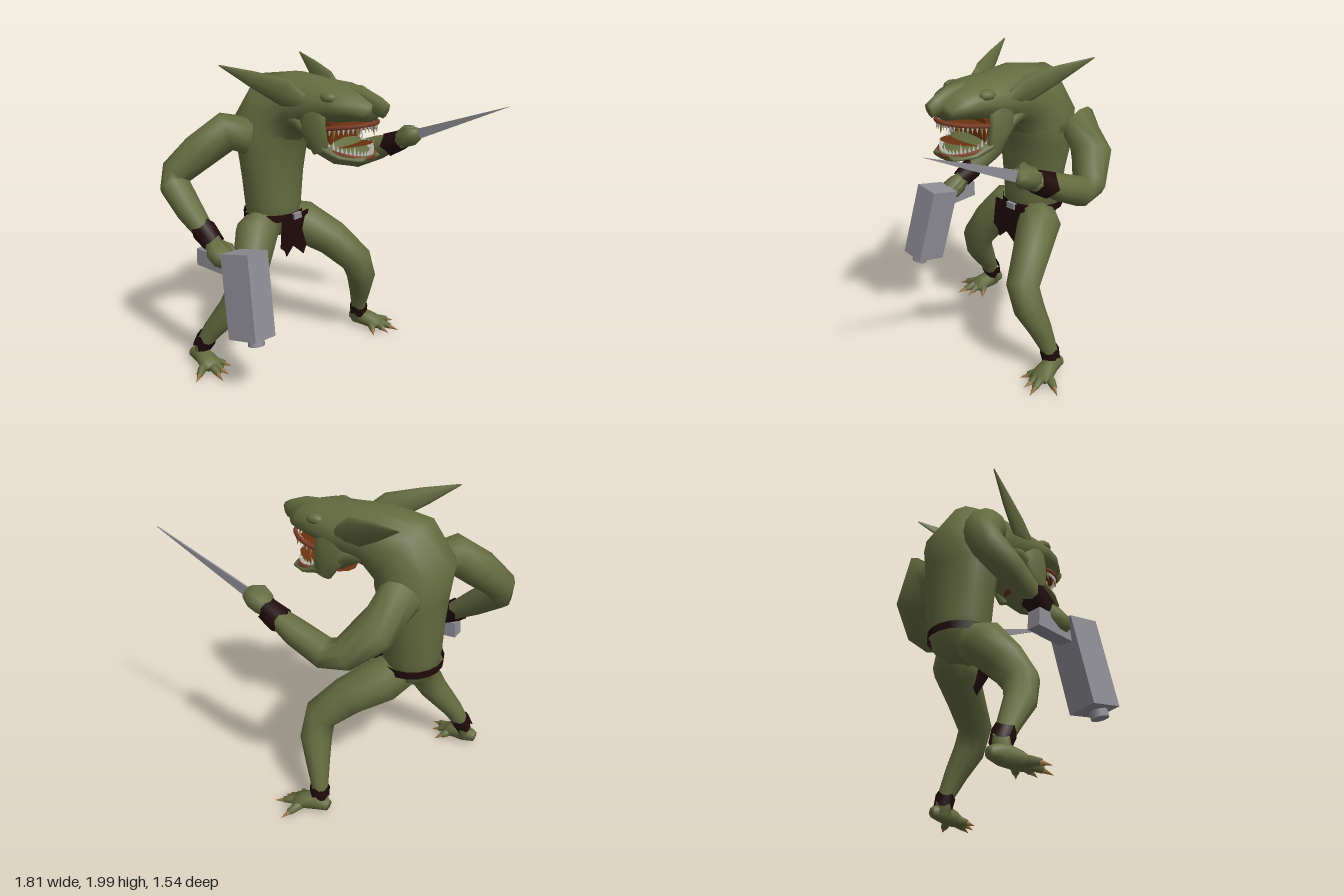
import * as THREE from 'three';

const mat = (name, color, side = THREE.FrontSide) => {
  const m = new THREE.MeshStandardMaterial({ color, side });
  m.name = name;
  return m;
};
const V = (x, y, z) => new THREE.Vector3(x, y, z);

// Loft of elliptical rings; each section is [x, y, z, radius in the xy plane, other radius]
function loft(sections, n = 10) {
  const c = sections.map(s => V(s[0], s[1], s[2]));
  const pos = [], idx = [], last = c.length - 1;
  c.forEach((p, i) => {
    const t = c[Math.min(i + 1, last)].clone().sub(c[Math.max(i - 1, 0)]).normalize();
    const u = V(0, 0, 1).cross(t).normalize(), v = t.clone().cross(u);
    const a = sections[i][3], b = sections[i][4] ?? a;
    for (let j = 0; j < n; j++) {
      const q = j / n * Math.PI * 2;
      const r = p.clone().addScaledVector(u, a * Math.cos(q)).addScaledVector(v, b * Math.sin(q));
      pos.push(r.x, r.y, r.z);
    }
  });
  pos.push(...c[0].toArray(), ...c[last].toArray());
  const s = c.length * n, e = s + 1;
  for (let j = 0; j < n; j++) {
    const k = (j + 1) % n;
    for (let i = 0; i < last; i++) {
      const A = i * n + j, B = i * n + k;
      idx.push(A, B, A + n, B, B + n, A + n);
    }
    idx.push(s, k, j, e, last * n + j, last * n + k);
  }
  const g = new THREE.BufferGeometry();
  g.setAttribute('position', new THREE.Float32BufferAttribute(pos, 3));
  g.setIndex(idx);
  g.computeVertexNormals();
  return g;
}

export function createModel() {
  const root = new THREE.Group();
  root.name = 'crouchingMonster';
  const skin = mat('green skin', 0x646c40);
  const leather = mat('dark leather', 0x200a0b, THREE.DoubleSide);
  const metal = mat('grey metal', 0x8f8e96);
  const lipMat = mat('lip', 0x7c3c26);
  const mouthMat = mat('mouth flesh', 0x6c330f, THREE.DoubleSide);
  const toothMat = mat('tooth', 0xc8c4bc);
  const clawMat = mat('claw', 0xa47a48);

  const add = (name, geo, material, parent = root) => {
    const m = new THREE.Mesh(geo, material);
    m.name = name;
    parent.add(m);
    return m;
  };
  const along = (mesh, from, to) => {
    mesh.position.copy(from).add(to).multiplyScalar(0.5);
    mesh.quaternion.setFromUnitVectors(V(0, 1, 0), to.clone().sub(from).normalize());
    return mesh;
  };
  const spike = (name, from, to, r, material, parent) =>
    along(add(name, new THREE.ConeGeometry(r, from.distanceTo(to), 5), material, parent), from, to);

  // Trunk, bending forward into the skull
  add('bodyAndSkull', loft([
    [-0.48, 0.83, -0.01, 0.08, 0.08], [-0.48, 0.92, -0.015, 0.17, 0.18], [-0.49, 1.05, -0.02, 0.175, 0.205],
    [-0.49, 1.25, -0.02, 0.18, 0.235], [-0.49, 1.43, -0.025, 0.195, 0.27], [-0.485, 1.58, -0.025, 0.24, 0.275],
    [-0.41, 1.70, -0.03, 0.25, 0.235], [-0.25, 1.75, -0.03, 0.195, 0.21], [-0.05, 1.765, -0.03, 0.15, 0.21],
    [0.1, 1.785, -0.03, 0.12, 0.2], [0.22, 1.775, -0.03, 0.09, 0.165], [0.31, 1.75, -0.03, 0.06, 0.1]], 16), skin);

  // Head details share one group, set slightly off centre
  const head = new THREE.Group();
  head.name = 'headDetails';
  head.position.z = -0.03;
  root.add(head);
  add('lowerJaw', loft([
    [-0.3, 1.7, 0, 0.1, 0.18], [-0.14, 1.665, 0, 0.085, 0.2], [-0.02, 1.59, 0, 0.085, 0.205],
    [0.07, 1.52, 0, 0.055, 0.195], [0.18, 1.48, 0, 0.035, 0.175], [0.29, 1.465, 0, 0.022, 0.105]], 14), skin, head);
  add('nose', loft([[0.06, 1.87, 0, 0.03, 0.05], [0.24, 1.84, 0, 0.05, 0.05],
    [0.34, 1.79, 0, 0.06, 0.037], [0.395, 1.768, 0, 0.05, 0.03]], 8), skin, head);

  for (const s of [1, -1]) {
    add('ear', loft([[-0.06, 1.78, s * 0.17, 0.04, 0.03], [-0.2, 1.84, s * 0.21, 0.09, 0.028],
      [-0.38, 1.915, s * 0.295, 0.055, 0.018], [-0.57, 1.995, s * 0.39, 0.004]], 8), skin, head);
    add('cheek', loft([[-0.03, 1.78, s * 0.165, 0.1, 0.035], [-0.01, 1.63, s * 0.18, 0.1, 0.03],
      [0.04, 1.5, s * 0.165, 0.06, 0.03]], 10), skin, head);
    const brow = add('brow', new THREE.SphereGeometry(0.05, 10, 6), skin, head);
    brow.position.set(0.09, 1.835, s * 0.155);
    brow.scale.set(1.2, 0.7, 0.9);
    add('eye', new THREE.SphereGeometry(0.018, 8, 6), leather, head).position.set(0.14, 1.805, s * 0.158);
  }

  // Mouth lining, lips and teeth
  add('throat', new THREE.BoxGeometry(0.08, 0.16, 0.29), mouthMat, head).position.set(0.055, 1.605, 0);
  for (const [name, y, tilt] of [['palate', 1.663, 0.08], ['mouthFloor', 1.525, -0.16]]) {
    const plate = add(name, new THREE.CircleGeometry(1, 16), mouthMat, head);
    plate.scale.set(0.19, 0.145, 1);
    plate.rotation.set(-Math.PI / 2, tilt, 0);
    plate.position.set(0.1, y, 0);
  }
  for (const [name, y0, y1, x1, w, d] of [
    ['upperLip', 1.65, 1.685, 0.315, 0.165, -1], ['lowerLip', 1.52, 1.472, 0.29, 0.16, 1]]) {
    const at = q => V(0.08 + (x1 - 0.08) * Math.cos(q), y0 + (y1 - y0) * Math.cos(q), w * Math.sin(q));
    const pts = [];
    for (let i = 0; i <= 10; i++) pts.push(at((i / 10 - 0.5) * Math.PI));
    add(name, new THREE.TubeGeometry(new THREE.CatmullRomCurve3(pts), 20, 0.014, 6), lipMat, head);
    for (let i = 0; i <= 22; i++) {
      const q = (i / 22 - 0.5) * 2.9, p = at(q), fang = i % 5 === 1;
      const base = V(p.x - 0.012, p.y, p.z * 0.93);
      const tip = V(0.012 * Math.cos(q), d * (fang ? 0.075 : 0.05), 0.012 * Math.sin(q)).add(base);
      spike('tooth', base, tip, 0.014, fang && d < 0 ? clawMat : toothMat, head);
    }
  }

  // Arms
  add('leftArm', loft([[-0.5, 1.54, 0.2, 0.12], [-0.58, 1.575, 0.31, 0.125], [-0.7, 1.45, 0.44, 0.12],
    [-0.81, 1.32, 0.54, 0.1], [-0.79, 1.24, 0.575, 0.1], [-0.64, 1.12, 0.605, 0.088],
    [-0.47, 0.99, 0.625, 0.06], [-0.41, 0.95, 0.63, 0.055]]), skin);
  add('rightArm', loft([[-0.48, 1.54, -0.2, 0.12], [-0.55, 1.57, -0.34, 0.125], [-0.49, 1.42, -0.51, 0.125],
    [-0.36, 1.29, -0.61, 0.1], [-0.25, 1.28, -0.64, 0.092], [-0.06, 1.36, -0.645, 0.082],
    [0.08, 1.42, -0.635, 0.06], [0.15, 1.45, -0.63, 0.055]]), skin);

  // Fists with a thumb
  add('leftHand', loft([[-0.43, 0.965, 0.63, 0.045], [-0.38, 0.92, 0.64, 0.068, 0.075],
    [-0.32, 0.885, 0.645, 0.07, 0.078], [-0.28, 0.86, 0.645, 0.045, 0.055]], 8), skin);
  add('leftThumb', loft([[-0.4, 0.95, 0.59, 0.025], [-0.34, 0.93, 0.565, 0.026], [-0.29, 0.9, 0.58, 0.018]], 6), skin);
  add('rightHand', loft([[0.1, 1.43, -0.63, 0.045], [0.16, 1.465, -0.625, 0.068, 0.072],
    [0.225, 1.49, -0.62, 0.068, 0.072], [0.275, 1.505, -0.62, 0.04, 0.05]], 8), skin);
  add('rightThumb', loft([[0.14, 1.49, -0.59, 0.025], [0.19, 1.535, -0.59, 0.026], [0.24, 1.54, -0.62, 0.018]], 6), skin);

  // Legs
  add('leftLeg', loft([[-0.48, 0.93, 0.08, 0.12], [-0.46, 0.88, 0.19, 0.145], [-0.4, 0.74, 0.31, 0.125],
    [-0.375, 0.6, 0.4, 0.11], [-0.44, 0.45, 0.46, 0.095], [-0.57, 0.28, 0.52, 0.068],
    [-0.65, 0.15, 0.55, 0.05], [-0.66, 0.05, 0.56, 0.055]]), skin);
  add('rightLeg', loft([[-0.46, 0.93, -0.08, 0.12], [-0.38, 0.88, -0.19, 0.145], [-0.2, 0.76, -0.3, 0.125],
    [-0.05, 0.61, -0.38, 0.11], [-0.05, 0.47, -0.44, 0.1], [-0.1, 0.32, -0.5, 0.075],
    [-0.145, 0.16, -0.55, 0.05], [-0.15, 0.05, -0.56, 0.055]]), skin);

  // Feet with four clawed toes
  for (const [name, x, z, s] of [['leftFoot', -0.66, 0.56, 1], ['rightFoot', -0.14, -0.57, -1]]) {
    add(name, loft([[x - 0.08, 0.07, z, 0.035], [x, 0.08, z, 0.065, 0.055],
      [x + 0.09, 0.06, z + s * 0.02, 0.05, 0.07], [x + 0.15, 0.045, z + s * 0.03, 0.03, 0.07]]), skin);
    for (const [dx, dz] of [[0.18, -0.09], [0.24, 0], [0.27, 0.08], [0.15, 0.19]]) {
      const lerp = (t, y, r) => [x + 0.07 + (dx - 0.07) * t, y, z + s * (0.02 + (dz - 0.02) * t), r];
      add('toe', loft([lerp(0, 0.05, 0.03), lerp(0.45, 0.046, 0.029), lerp(0.75, 0.03, 0.021)], 7), skin);
      const a = lerp(0.66, 0.032), b = lerp(1.07, 0.008);
      spike('toeClaw', V(a[0], a[1], a[2]), V(b[0], b[1], b[2]), 0.021, clawMat);
    }
  }

  // Ragged leather cuffs
  const cuff = (name, from, to, r0, r1, rag) => {
    const h = from.distanceTo(to), g = new THREE.CylinderGeometry(r1, r0, h, 12, 1, true);
    const p = g.attributes.position;
    for (let i = 0; i < p.count; i++)
      if (i % 13 % 3 === 0) p.setY(i, p.getY(i) + (i < 13 ? 0.28 : rag) * h);
    g.computeVertexNormals();
    along(add(name, g, leather), from, to);
  };
  cuff('leftWristCuff', V(-0.405, 0.95, 0.63), V(-0.5, 1.015, 0.62), 0.068, 0.08, 0.12);
  cuff('rightWristCuff', V(0.14, 1.445, -0.632), V(0.04, 1.4, -0.638), 0.068, 0.08, 0.12);
  cuff('leftAnkleCuff', V(-0.665, 0.125, 0.553), V(-0.625, 0.2, 0.537), 0.06, 0.068, 0.4);
  cuff('rightAnkleCuff', V(-0.15, 0.105, -0.557), V(-0.14, 0.175, -0.547), 0.06, 0.064, 0.4);

  // Belt, buckle and hanging cloth
  const belt = add('belt', new THREE.CylinderGeometry(1, 1, 0.05, 18, 1, true), leather);
  belt.scale.set(0.192, 1, 0.21);
  belt.position.set(-0.49, 0.982, -0.018);
  add('buckle', new THREE.BoxGeometry(0.025, 0.04, 0.07), metal).position.set(-0.286, 0.985, -0.022);
  const cloth = add('loincloth', new THREE.ShapeGeometry(new THREE.Shape([
    [-0.13, 1.0], [-0.15, 0.8], [-0.11, 0.77], [-0.09, 0.72], [-0.02, 0.78], [0.03, 0.74],
    [0.09, 0.69], [0.15, 0.8], [0.12, 0.9], [0.15, 1.0]].map(p => new THREE.Vector2(...p)))), leather);
  cloth.rotation.y = Math.PI / 2;
  cloth.position.x = -0.288;

  // Flat tapering blade in the right hand
  const edge = [[0.21, 1.44], [0.91, 1.765], [0.18, 1.51]].map(p => new THREE.Vector2(...p));
  add('blade', new THREE.ExtrudeGeometry(new THREE.Shape(edge), { depth: 0.01, bevelEnabled: false }), metal)
    .position.z = -0.63;

  // Heavy block weapon in the left hand
  const weapon = new THREE.Group();
  weapon.name = 'blockWeapon';
  const up = V(-0.1, 0.52, -0.06).normalize();
  const side = V(1, 0, 0).addScaledVector(up, -up.x).normalize();
  weapon.quaternion.setFromRotationMatrix(new THREE.Matrix4().makeBasis(side, up, side.clone().cross(up)));
  weapon.position.set(-0.128, 0.69, 0.645);
  root.add(weapon);
  add('block', new THREE.BoxGeometry(0.22, 0.53, 0.18), metal, weapon);
  add('muzzle', new THREE.CylinderGeometry(0.052, 0.052, 0.06, 10), metal, weapon).position.set(0.03, -0.28, 0);
  const grip = add('grip', new THREE.BoxGeometry(0.28, 0.11, 0.09), metal);
  grip.position.set(-0.37, 0.855, 0.64);
  grip.rotation.z = -0.06;

  return root;
}
